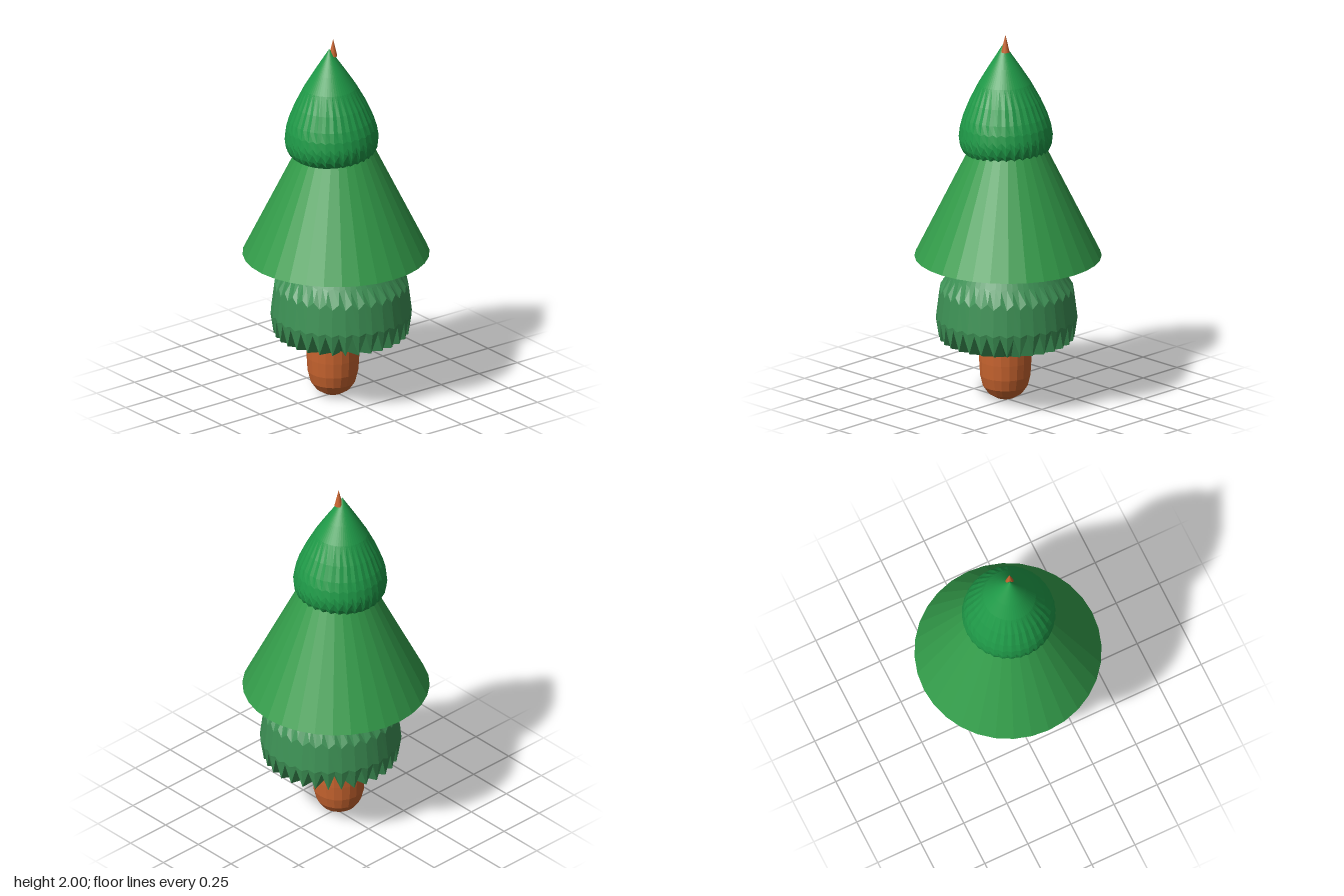
import * as THREE from 'three';

const TEETH = 32;

function mesh(name, geometry, color) {
  const m = new THREE.Mesh(geometry, new THREE.MeshStandardMaterial({ color, flatShading: true }));
  m.name = name;
  return m;
}

function lathe(rows, sides) {
  return new THREE.LatheGeometry(rows.map(([r, y]) => new THREE.Vector2(r, y)), sides);
}

// Turned foliage whose odd columns use the alternate [radius, height] of each row
function jagged(rows) {
  const geo = lathe(rows, TEETH * 2);
  const pos = geo.attributes.position;
  for (let k = 0; k < pos.count; k++) {
    const column = Math.floor(k / rows.length);
    const [r, y, rOdd = r, yOdd = y] = rows[k % rows.length];
    if (column % 2 === 0) continue;
    const a = (column / (TEETH * 2)) * Math.PI * 2;
    pos.setXYZ(k, rOdd * Math.sin(a), yOdd, rOdd * Math.cos(a));
  }
  return geo;
}

export function createModel() {
  const tree = new THREE.Group();
  tree.name = 'tree';

  // Round-ended trunk
  const trunk = mesh('trunk', lathe([
    [0, 0.005], [0.05, 0.015], [0.09, 0.04], [0.118, 0.08], [0.133, 0.14],
    [0.138, 0.22], [0.14, 0.5], [0, 0.5],
  ], 20), 0xc8642f);
  trunk.position.x = -0.02;
  tree.add(trunk);

  // Bottom tier: toothed rim with a shallow conical underside
  const lower = mesh('lowerFoliage', jagged([
    [0, 0.275], [0.12, 0.285],
    [0.353, 0.355, 0.362, 0.46],
    [0.37, 0.465, 0.366, 0.48],
    [0.352, 0.61, 0.347, 0.64],
    [0.3, 0.71, 0.305, 0.7],
    [0.25, 0.8], [0.14, 0.9], [0, 0.96],
  ]), 0x3d9155);
  lower.position.set(0.015, 0, 0.025);
  tree.add(lower);

  // Middle tier: plain closed cone
  const middle = mesh('middleFoliage', lathe([[0, 0.795], [0.489, 0.795], [0.12, 1.545], [0, 1.6]], 32), 0x339c4a);
  tree.add(middle);

  // Top tier: rounded, finely ribbed and slightly tilted
  const upper = mesh('upperFoliage', jagged([
    [0, -0.07], [0.205, -0.075],
    [0.225, -0.06, 0.232, -0.035],
    [0.24, -0.03, 0.244, 0.01],
    [0.246, 0.02, 0.241, 0.045],
    [0.238, 0.075, 0.234, 0.085],
    [0.222, 0.13, 0.218, 0.13],
    [0.188, 0.21, 0.184, 0.21],
    [0.138, 0.305], [0.085, 0.39], [0.02, 0.49], [0, 0.52],
  ]), 0x1f9a48);
  upper.position.set(-0.023, 1.428, -0.007);
  upper.rotation.z = 0.03;
  tree.add(upper);

  // Pointed tip
  const tip = mesh('tip', lathe([[0, 1.9], [0.022, 1.905], [0.014, 1.94], [0.007, 1.97], [0, 2]], 16), 0xc8642f);
  tip.position.x = -0.019;
  tree.add(tip);

  return tree;
}
